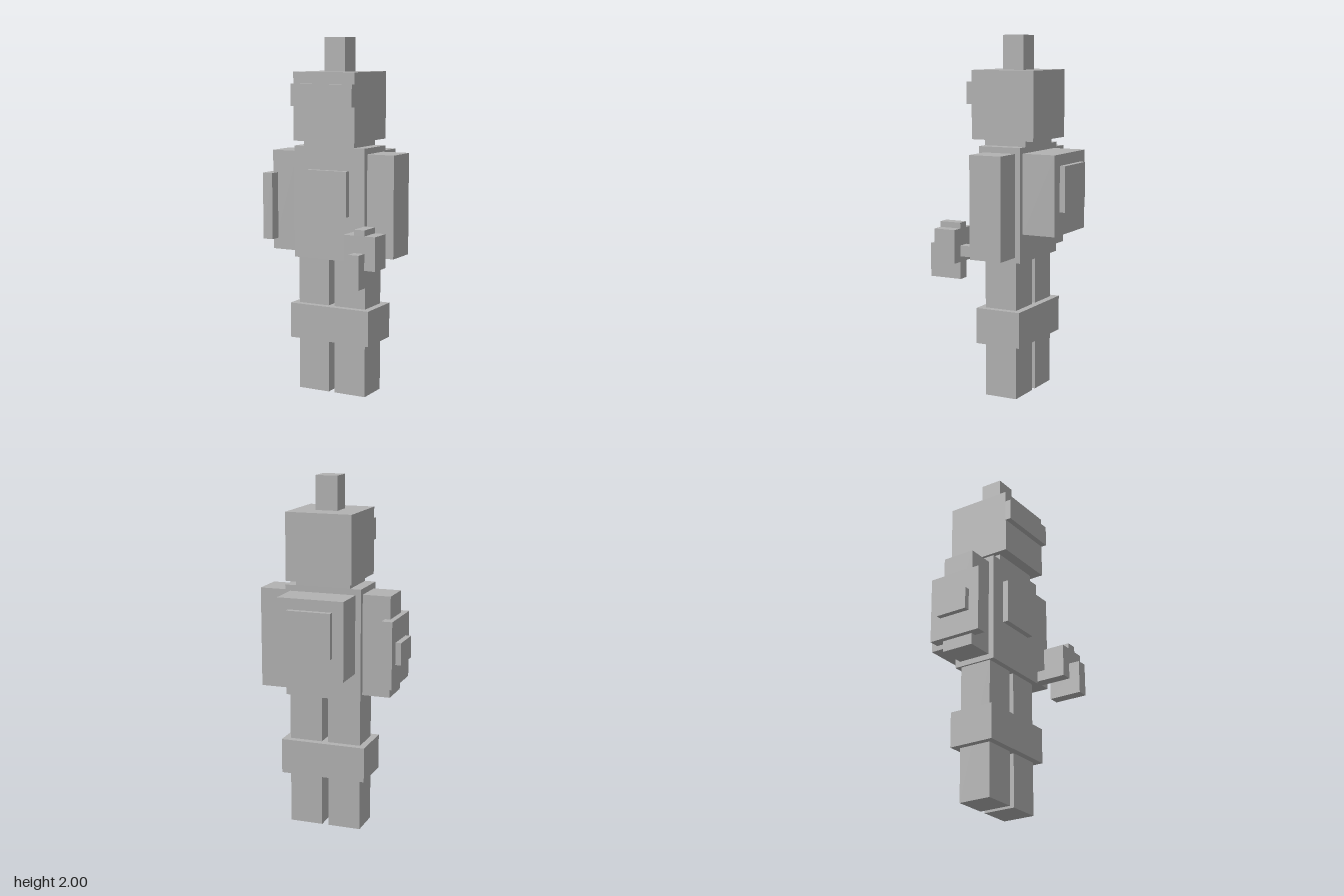
import * as THREE from 'three';

export function createModel() {
  const model = new THREE.Group();
  const grey = new THREE.MeshStandardMaterial({ color: 0xb2b2b2 });
  grey.name = 'grey';

  // Adds a box from its extents on each axis
  const block = (name, [x0, x1], [y0, y1], [z0, z1], parent = model) => {
    const mesh = new THREE.Mesh(new THREE.BoxGeometry(x1 - x0, y1 - y0, z1 - z0), grey);
    mesh.name = name;
    mesh.position.set((x0 + x1) / 2, (y0 + y1) / 2, (z0 + z1) / 2);
    parent.add(mesh);
  };
  const group = (name) => {
    const g = new THREE.Group();
    g.name = name;
    model.add(g);
    return g;
  };

  // Head with wrap-free visor and crest
  const headX = [-0.16, 0.22];
  const head = group('headGroup');
  block('head', headX, [1.433, 1.811], [-0.207, 0.172], head);
  block('visor', headX, [1.625, 1.747], [0.172, 0.204], head);
  block('crest', [-0.033, 0.093], [1.811, 2], [-0.08, 0.046], head);
  block('neck', [-0.129, 0.185], [1.4, 1.433], [-0.143, 0.11], head);

  // Torso and chest plate
  block('torso', [-0.192, 0.25], [0.77, 1.4], [-0.143, 0.11]);
  block('chestPlate', [-0.097, 0.154], [1.02, 1.272], [0.11, 0.142]);

  // Backpack with rear panel
  const pack = group('backpackGroup');
  block('backpack', headX, [0.926, 1.367], [-0.335, -0.143], pack);
  block('backpackPanel', [-0.096, 0.157], [1.053, 1.305], [-0.367, -0.335], pack);

  // Arms
  const limbZ = [-0.112, 0.078];
  block('rightArm', [-0.351, -0.192], [0.8, 1.367], limbZ);
  block('leftArm', [0.25, 0.411], [0.8, 1.367], limbZ);

  // Shield on the right arm
  const shield = group('shieldGroup');
  block('shieldPlate', [-0.381, -0.32], [0.863, 1.241], [-0.175, 0.141], shield);
  block('shieldBoss', [-0.413, -0.381], [0.989, 1.114], limbZ, shield);

  // Blaster held in front of the left arm
  const barrelX = [0.285, 0.348];
  const blaster = group('blasterGroup');
  block('grip', barrelX, [0.8, 0.86], [0.078, 0.174], blaster);
  block('blasterBody', [0.223, 0.411], [0.769, 0.954], [0.174, 0.3], blaster);
  block('sight', barrelX, [0.954, 0.986], [0.174, 0.3], blaster);
  block('barrel', barrelX, [0.673, 0.86], [0.174, 0.364], blaster);

  // Legs and the band around the knees
  block('rightLeg', [-0.18, 0.01], [0, 0.77], limbZ);
  block('leftLeg', [0.048, 0.239], [0, 0.77], limbZ);
  block('kneeBand', [-0.217, 0.278], [0.302, 0.502], [-0.151, 0.116]);

  return model;
}
